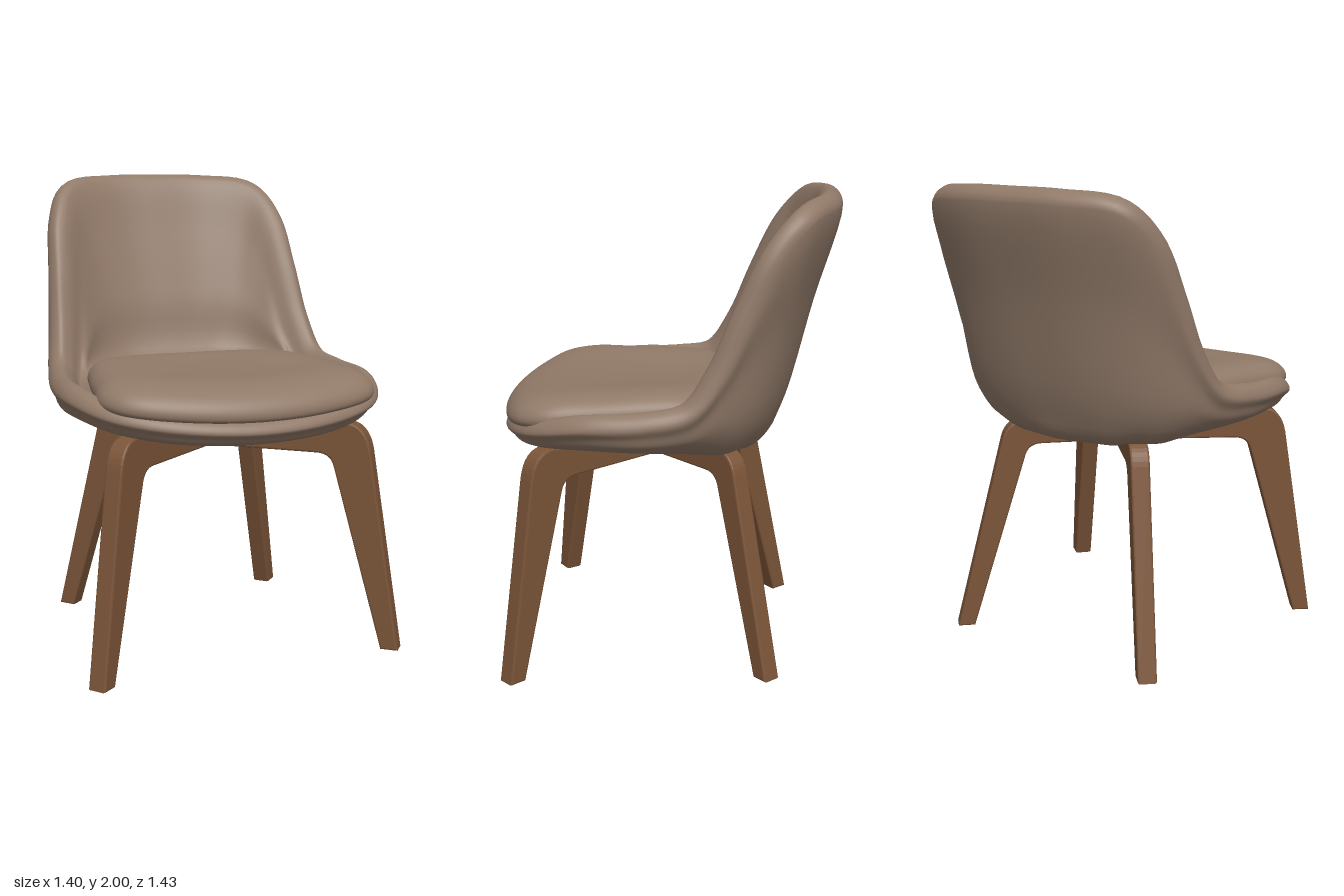
import * as THREE from 'three';

const V = (x, y, z) => new THREE.Vector3(x, y, z);

// closed loop mirrored in x from stations running front to back along the left side
function mirroredLoop(points) {
  const half = points.map(p => V(...p));
  const other = half.slice(1, -1).reverse().map(p => V(-p.x, p.y, p.z));
  return new THREE.CatmullRomCurve3([...half, ...other], true, 'centripetal');
}

// smooth skin over radial sections: profile(u) lists points from bottom centre to top centre
function radialSkin(profile, around, along) {
  const pos = [], index = [];
  for (let i = 0; i < around; i++) {
    const curve = new THREE.CatmullRomCurve3(profile(i / around), false, 'centripetal');
    for (let j = 0; j <= along; j++) pos.push(...curve.getPoint(j / along).toArray());
  }
  const row = along + 1;
  for (let i = 0; i < around; i++) {
    const k = (i + 1) % around;
    for (let j = 0; j < along; j++) {
      const a = i * row + j, b = k * row + j;
      index.push(a, b, a + 1, b, b + 1, a + 1);
    }
  }
  const g = new THREE.BufferGeometry();
  g.setAttribute('position', new THREE.Float32BufferAttribute(pos, 3));
  g.setIndex(index);
  g.computeVertexNormals();
  return g;
}

// bucket shell: outer rim, lower wall and base loops
function shellGeometry() {
  const rim = mirroredLoop([
    [0, 1.003, 0.715], [0.35, 1.023, 0.66], [0.58, 1.06, 0.525], [0.692, 1.105, 0.3],
    [0.692, 1.12, 0.05], [0.655, 1.165, -0.15], [0.62, 1.33, -0.275], [0.59, 1.57, -0.385],
    [0.555, 1.785, -0.495], [0.475, 1.908, -0.605], [0.25, 1.937, -0.695], [0, 1.94, -0.715]]);
  const wall = mirroredLoop([
    [0, 0.955, 0.665], [0.33, 0.97, 0.615], [0.54, 1.0, 0.485], [0.64, 1.03, 0.28],
    [0.65, 1.035, 0.05], [0.61, 1.05, -0.13], [0.575, 1.08, -0.23], [0.515, 1.08, -0.31],
    [0.425, 1.08, -0.385], [0.3, 1.08, -0.44], [0.16, 1.08, -0.47], [0, 1.08, -0.48]]);
  const base = mirroredLoop([
    [0, 0.94, 0.5], [0.25, 0.945, 0.45], [0.38, 0.96, 0.36], [0.46, 0.967, 0.2],
    [0.47, 0.967, 0], [0.45, 0.96, -0.13], [0.42, 0.95, -0.23], [0.38, 0.95, -0.28],
    [0.33, 0.95, -0.31], [0.25, 0.94, -0.35], [0.13, 0.94, -0.38], [0, 0.94, -0.4]]);
  return radialSkin(u => {
    const e = rim.getPoint(u), w = wall.getPoint(u), b = base.getPoint(u);
    const inward = V(-e.x, 0, -0.05 - e.z).normalize();
    const up = rim.getTangent(u).cross(inward).normalize();
    const toFront = THREE.MathUtils.smoothstep(e.z, 0.3, 0.7);
    const t = 0.122 - 0.03 * toFront;
    const edge = (a, c) => e.clone().addScaledVector(inward, a * t).addScaledVector(up, c * t);
    const foot = w.clone().addScaledVector(inward, 0.135).add(V(0, 0.09 - 0.025 * toFront, 0));
    const inner = edge(1, -0.1);
    return [V(0, 0.935, 0.05), b, w, w.clone().lerp(e, 0.55), e,
      edge(0.14, 0.33), edge(0.47, 0.5), edge(0.8, 0.3),
      inner.clone().lerp(foot, 0.25), inner.clone().lerp(foot, 0.65), foot, V(0, 1.05, 0.1)];
  }, 128, 66);
}

// loose seat pad, slightly dished, following the bowl
function cushionGeometry() {
  const outline = mirroredLoop([
    [0, 0, 0.71], [0.3, 0, 0.675], [0.53, 0, 0.585], [0.595, 0, 0.46], [0.57, 0, 0.28],
    [0.535, 0, 0.08], [0.48, 0, -0.12], [0.36, 0, -0.26], [0.2, 0, -0.335], [0, 0, -0.36]]);
  const rings = [[0.95, 0], [0.99, 0.01], [1, 0.032], [0.98, 0.065], [0.92, 0.1],
    [0.82, 0.125], [0.65, 0.142], [0.35, 0.143]];
  return radialSkin(u => {
    const o = outline.getPoint(u);
    const side = 0.12 * o.x * o.x;
    const rise = 0.04 * (1 - THREE.MathUtils.smoothstep(o.z, -0.2, 0.6));
    const ring = rings.map(([s, h]) =>
      V(o.x * s, 1.045 + (side + rise) * s * s + h, 0.17 + (o.z - 0.17) * s));
    return [V(0, 1.045, 0.17), ...ring, V(0, 1.188, 0.17)];
  }, 96, 40);
}

// bent-wood leg: rail from the crossing outwards, curving down to the foot
function legGeometry({ footIn, footOut, kneeIn, kneeOut, top }) {
  const s = new THREE.Shape();
  s.moveTo(-0.02, 0.848);
  s.lineTo(kneeIn - 0.085, 0.848);
  s.quadraticCurveTo(kneeIn - 0.015, 0.848, kneeIn, 0.78);
  s.lineTo(footIn, 0.008);
  s.lineTo(footOut, 0.008);
  s.lineTo(kneeOut, 0.86);
  s.quadraticCurveTo(kneeOut - 0.02, top, kneeOut - 0.11, top);
  s.lineTo(0.35, 0.94);
  s.lineTo(-0.02, 0.935);
  s.closePath();
  const g = new THREE.ExtrudeGeometry(s, {
    depth: 0.064, curveSegments: 8,
    bevelEnabled: true, bevelThickness: 0.008, bevelSize: 0.008, bevelSegments: 2 });
  return g.translate(0, 0, -0.032);
}

export function createModel() {
  const fabric = new THREE.MeshStandardMaterial({ color: 0x907968 });
  fabric.name = 'taupe fabric';
  const wood = new THREE.MeshStandardMaterial({ color: 0x7a5438 });
  wood.name = 'walnut wood';

  const model = new THREE.Group();
  model.name = 'chair';
  const add = (name, geometry, material) => {
    const mesh = new THREE.Mesh(geometry, material);
    mesh.name = name;
    model.add(mesh);
    return mesh;
  };

  add('shell', shellGeometry(), fabric);
  add('seatCushion', cushionGeometry(), fabric);

  // four legs meeting at a crossing under the seat
  const front = legGeometry({ footIn: 0.806, footOut: 0.866, kneeIn: 0.59, kneeOut: 0.73, top: 0.972 });
  const back = legGeometry({ footIn: 0.687, footOut: 0.746, kneeIn: 0.45, kneeOut: 0.533, top: 0.945 });
  const frontAngle = Math.atan2(0.535, 0.64), backAngle = Math.atan2(0.515, 0.495);
  for (const [name, geometry, turn] of [
    ['frontLegLeft', front, -frontAngle], ['frontLegRight', front, Math.PI + frontAngle],
    ['backLegLeft', back, backAngle], ['backLegRight', back, Math.PI - backAngle]]) {
    const leg = add(name, geometry, wood);
    leg.rotation.y = turn;
    leg.position.z = 0.065;
  }
  return model;
}
